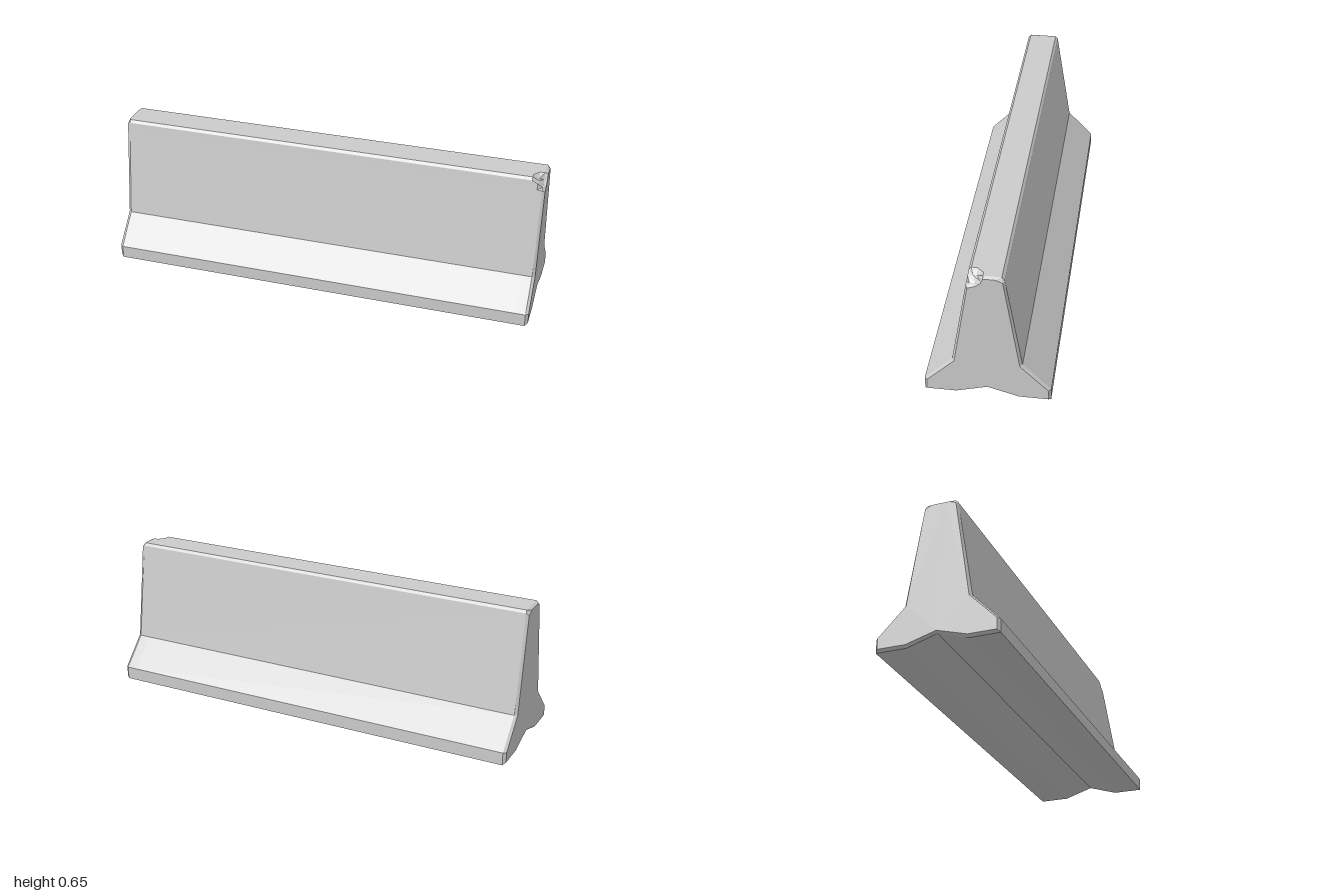
import * as THREE from 'three';

// Cross-sections as [z, y], counter-clockwise from the middle of the base.
const base = [[0, 0.043], [0.135, 0], [0.272, 0], [0.272, 0.06], [0.149, 0.187]];
const baseInset = [[0, 0.051], [0.135, 0.011], [0.261, 0.011], [0.261, 0.06], [0.139, 0.185]];
const top = [[0.076, 0.64], [0.065, 0.652]];
const topInset = [[0.07, 0.632], [0.04, 0.645]];

// Front top edge (five points) when whole, and as it breaks away at the chip.
const whole = [[0.083, 0.595], [0.076, 0.64], [0.065, 0.652], [0.04, 0.652], [0.01, 0.652]];
const wholeInset = [[0.076, 0.595], [0.07, 0.632], [0.04, 0.645], [0.025, 0.645], [0.01, 0.645]];
const chipMid = [[0.082, 0.6], [0.077, 0.627], [0.055, 0.633], [0.038, 0.634], [0.012, 0.652]];
const chipOuter = [[0.082, 0.597], [0.066, 0.607], [0.042, 0.61], [0.024, 0.624], [0.01, 0.652]];
const chipInset = [[0.075, 0.592], [0.066, 0.594], [0.04, 0.605], [0.02, 0.621], [0.01, 0.645]];

// Full outline: front half, front top edge, then the mirrored back half.
function section(x, lower, edge, upper) {
  const back = [...lower.slice(1), ...upper].reverse().map(([z, y]) => [-z, y]);
  return [...lower, ...edge, ...back].map(([z, y]) => new THREE.Vector3(x, y, z));
}

// Skin neighbouring sections and close both ends.
function loft(sections) {
  const pts = [];
  const n = sections[0].length;
  for (let s = 0; s < sections.length - 1; s++) {
    for (let i = 0; i < n; i++) {
      const j = (i + 1) % n;
      const a = sections[s][i], b = sections[s][j];
      const c = sections[s + 1][j], d = sections[s + 1][i];
      pts.push(a, d, c, a, c, b);
    }
  }
  const cap = (ring, flip) => {
    const flat = ring.map(p => new THREE.Vector2(p.z, p.y));
    for (const [a, b, c] of THREE.ShapeUtils.triangulateShape(flat, [])) {
      pts.push(ring[a], ring[flip ? c : b], ring[flip ? b : c]);
    }
  };
  cap(sections[0], false);
  cap(sections[sections.length - 1], true);
  const geometry = new THREE.BufferGeometry().setFromPoints(pts);
  geometry.computeVertexNormals();
  return geometry;
}

export function createModel() {
  const group = new THREE.Group();
  group.name = 'concreteBarrier';

  // Barrier body with bevelled ends and one chipped top corner
  const body = new THREE.Mesh(
    loft([
      section(-1, baseInset, wholeInset, topInset),
      section(-0.987, base, whole, top),
      section(0.94, base, whole, top),
      section(0.965, base, chipMid, top),
      section(0.987, base, chipOuter, top),
      section(1, baseInset, chipInset, topInset),
    ]),
    new THREE.MeshStandardMaterial({ color: 0xcccccc, flatShading: true })
  );
  body.name = 'barrierBody';
  group.add(body);
  return group;
}
